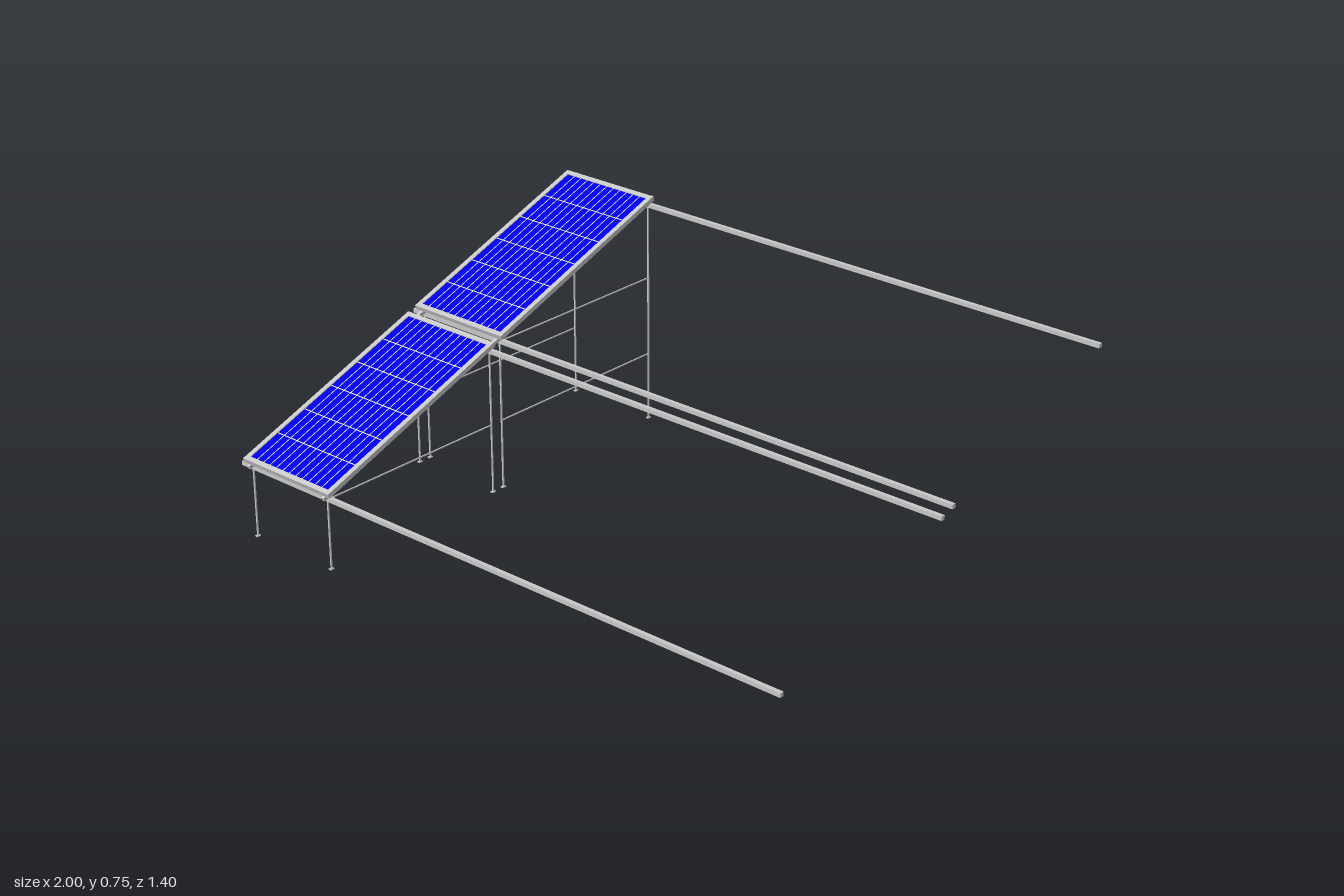
import * as THREE from 'three';

export function createModel() {
  const model = new THREE.Group();
  model.name = 'solarArray';

  const mat = (name, color) => {
    const m = new THREE.MeshStandardMaterial({ color });
    m.name = name;
    return m;
  };
  const metal = mat('metal', 0xc8c8c8);
  const cellBlue = mat('cellBlue', 0x0000fa);
  const gridLine = mat('gridLine', 0xf0f0c0);

  const box = (parent, name, material, size, pos) => {
    const mesh = new THREE.Mesh(new THREE.BoxGeometry(...size), material);
    mesh.name = name;
    mesh.position.set(...pos);
    parent.add(mesh);
    return mesh;
  };

  const TILT = THREE.MathUtils.degToRad(20);
  const MID_Y = 0.4885;
  const legXs = [-0.953, -0.64];
  const purlinY = (z) => MID_Y - z * Math.tan(TILT) - 0.02;

  // Tilted deck: rafters and panels lie in one sloping plane
  const deck = new THREE.Group();
  deck.name = 'tiltedDeck';
  deck.position.y = MID_Y;
  deck.rotation.x = TILT;
  model.add(deck);

  for (const x of legXs) box(deck, 'rafter', metal, [0.011, 0.011, 1.49], [x, -0.0055, 0]);

  // One framed panel between two positions along the slope
  function addPanel(z0, z1) {
    const panel = new THREE.Group();
    panel.name = 'solarPanel';
    panel.position.set(-0.797, 0, (z0 + z1) / 2);
    deck.add(panel);
    const w = 0.358, l = z1 - z0, rim = 0.016, h = 0.015;
    const iw = w - 2 * rim, il = l - 2 * rim;

    for (const s of [-1, 1]) {
      box(panel, 'frameSide', metal, [rim, h, l], [s * (w - rim) / 2, h / 2, 0]);
      box(panel, 'frameEnd', metal, [iw, h, rim], [0, h / 2, s * (l - rim) / 2]);
    }
    box(panel, 'backSheet', metal, [iw, 0.008, il], [0, 0.005, 0]);
    box(panel, 'cells', cellBlue, [iw, 0.003, il], [0, 0.0105, 0]);

    // Thin lines dividing the cells
    for (let i = 1; i < 12; i++)
      box(panel, 'cellLineLong', gridLine, [0.0026, 0.001, il], [-iw / 2 + (iw * i) / 12, 0.0125, 0]);
    for (let i = 1; i < 6; i++)
      box(panel, 'cellLineCross', gridLine, [iw, 0.001, 0.003], [0, 0.0127, -il / 2 + (il * i) / 6]);
  }
  addPanel(0.02, 0.737);
  addPanel(-0.73, -0.01);

  // Long purlins running under the rafters
  for (const z of [0.676, 0.02, -0.026, -0.685])
    box(model, 'purlin', metal, [2, 0.013, 0.013], [0, purlinY(z), z]);

  // Legs with foot plates, and horizontal braces
  for (const x of legXs) {
    for (const z of [0.68, 0.022, -0.022, -0.682]) {
      const top = purlinY(z);
      box(model, 'leg', metal, [0.0045, top, 0.0045], [x, top / 2, z]);
      box(model, 'footPlate', metal, [0.01, 0.003, 0.014], [x, 0.0015, z]);
    }
    for (const [y, za, zb] of [[0.222, 0.68, 0.022], [0.222, -0.022, -0.682], [0.478, -0.022, -0.682]])
      box(model, 'brace', metal, [0.0035, 0.0035, za - zb], [x, y, (za + zb) / 2]);
  }

  return model;
}
